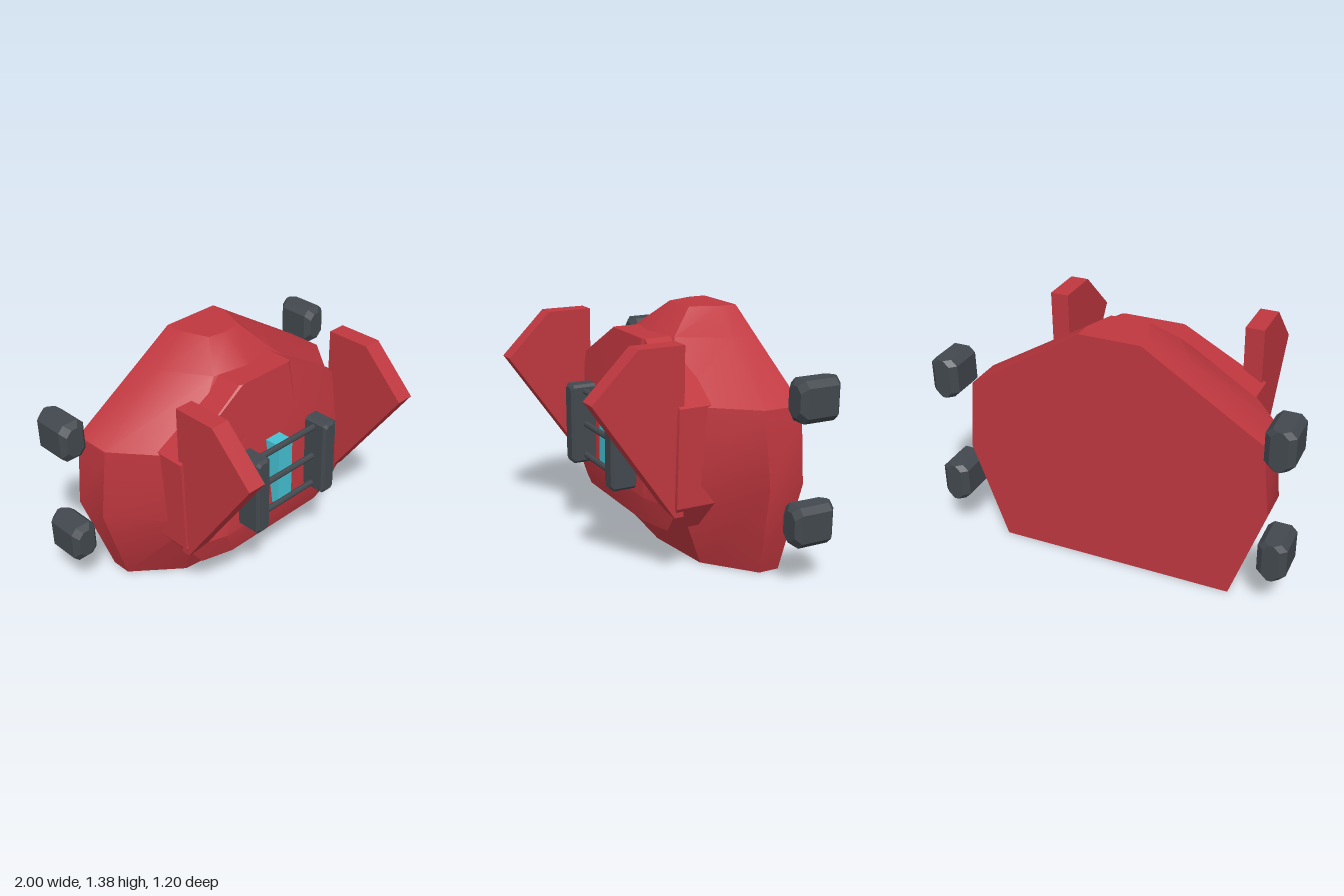
import * as THREE from 'three';
import { toCreasedNormals } from 'three/addons/utils/BufferGeometryUtils.js';

const red = new THREE.MeshStandardMaterial({ name: 'red armour', color: 0xbf373f });
const dark = new THREE.MeshStandardMaterial({ name: 'dark grey', color: 0x42484e });
const cyan = new THREE.MeshStandardMaterial({ name: 'cyan glow', color: 0x45c0d2 });

// Full ring from half-profile points [x, z] (front to back), mirrored in x
function ring(y, half) {
  const mirrored = half.filter(p => p[0] > 0).reverse().map(([x, z]) => [-x, z]);
  return [...half, ...mirrored].map(([x, z]) => [x, y, z]);
}

// Skin between equal-length rings, with end caps
function loft(rings, crease) {
  const n = rings[0].length, index = [];
  for (let r = 0; r < rings.length - 1; r++) {
    for (let i = 0; i < n; i++) {
      const a = r * n + i, b = r * n + (i + 1) % n;
      index.push(a, b, b + n, a, b + n, a + n);
    }
  }
  const top = (rings.length - 1) * n;
  for (let i = 1; i < n - 1; i++) {
    index.push(0, i + 1, i, top, top + i, top + i + 1);
  }
  const g = new THREE.BufferGeometry();
  g.setAttribute('position', new THREE.Float32BufferAttribute(rings.flat(2), 3));
  g.setIndex(index);
  return toCreasedNormals(g, crease);
}

// Octagonal block along z; each section is [z, halfWidth, halfHeight]
function block(sections, cut) {
  const rings = sections.map(([z, w, h]) => ring(z, [
    [w - cut, h], [w, h - cut], [w, cut - h], [w - cut, -h],
  ]));
  return loft(rings, 0.2).rotateX(Math.PI / 2);
}

export function createModel() {
  const model = new THREE.Group();
  model.name = 'armouredTorso';
  const add = (name, geometry, material, x = 0, y = 0, z = 0) => {
    const mesh = new THREE.Mesh(geometry, material);
    mesh.name = name;
    mesh.position.set(x, y, z);
    model.add(mesh);
    return mesh;
  };

  // Main hull with a flat back
  add('hull', loft([
    ring(0, [[0, -0.09], [0.41, -0.14], [0.67, -0.36], [0.67, -0.48]]),
    ring(0.55, [[0, 0.17], [0.55, 0.11], [0.86, -0.28], [0.86, -0.48]]),
    ring(0.96, [[0, 0.1], [0.54, 0.09], [0.82, -0.26], [0.82, -0.48]]),
    ring(1.24, [[0, -0.03], [0.22, -0.07], [0.38, -0.33], [0.38, -0.48]]),
    ring(1.375, [[0, -0.2], [0.11, -0.22], [0.17, -0.38], [0.17, -0.48]]),
  ], 0.5), red);

  // Raised chest plate
  add('chestPlate', loft([
    ring(0.28, [[0.34, 0.175], [0.52, 0.125], [0.52, -0.1]]),
    ring(0.44, [[0.41, 0.21], [0.64, 0.135], [0.64, -0.12]]),
    ring(0.97, [[0.19, 0.14], [0.64, 0.125], [0.64, -0.1]]),
    ring(1.24, [[0.17, 0.1], [0.19, 0.09], [0.19, -0.07]]),
  ], 0.35), red);

  // Angular shoulder fins
  const finShape = new THREE.Shape([
    [0.09, 1.29], [0.09, 0.39], [0.14, 0.39], [0.595, 1.04], [0.345, 1.29],
  ].map(([z, y]) => new THREE.Vector2(-z, y)));
  const finGeometry = new THREE.ExtrudeGeometry(finShape, { depth: 0.105, bevelEnabled: false })
    .translate(0, 0, -0.0525).rotateY(Math.PI / 2);

  // Side pads and grille uprights share the bevelled block
  const padGeometry = block([
    [-0.6, 0.045, 0.11], [-0.57, 0.078, 0.11], [-0.39, 0.078, 0.11], [-0.36, 0.05, 0.08],
  ], 0.033);
  const uprightGeometry = block([
    [0.2, 0.05, 0.23], [0.33, 0.05, 0.23], [0.345, 0.035, 0.215],
  ], 0.015);

  for (const [side, s] of [['left', 1], ['right', -1]]) {
    add(side + 'Fin', finGeometry, red, s * 0.572);
    add(side + 'UpperPad', padGeometry, dark, s * 0.922, 1.02);
    add(side + 'LowerPad', padGeometry, dark, s * 0.922, 0.36);
    add(side + 'GrilleUpright', uprightGeometry, dark, s * 0.26, 0.69);
  }

  // Grille rungs
  const rungGeometry = toCreasedNormals(
    new THREE.CylinderGeometry(0.017, 0.017, 0.46, 8).rotateZ(Math.PI / 2), 0.2);
  for (const y of [0.505, 0.69, 0.88]) {
    add('grilleRung', rungGeometry, dark, 0, y, 0.26);
  }

  // Glowing strip behind the rungs
  add('glowStrip', new THREE.BoxGeometry(0.105, 0.39, 0.1), cyan, 0, 0.675, 0.2);
  return model;
}
